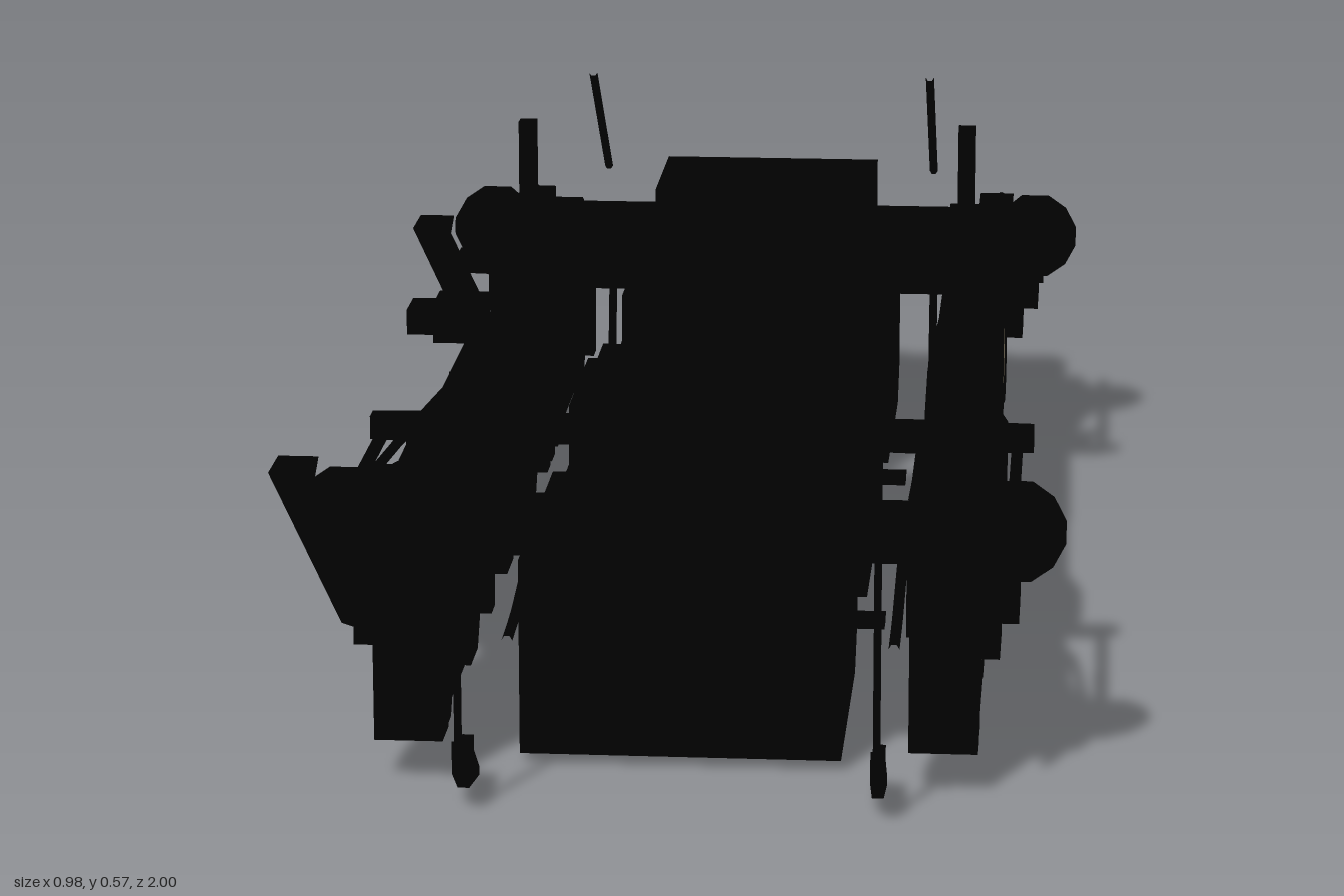
import * as THREE from 'three';

export function createModel() {
  const black = new THREE.MeshStandardMaterial({ color: 0x010101 });
  black.name = 'black iron';
  const tan = new THREE.MeshStandardMaterial({ color: 0x8e826a });
  tan.name = 'tan axle cap';

  const model = new THREE.Group();
  model.name = 'threeAxleBogie';
  const truck = new THREE.Group();
  truck.name = 'truck';
  truck.position.x = 0.022; // small sideways offset, dampers stick out on one side
  model.add(truck);

  const add = (name, geo, mat = black) => {
    const m = new THREE.Mesh(geo, mat);
    m.name = name;
    truck.add(m);
    return m;
  };
  // Box from min and max corners
  const box = (name, x0, x1, y0, y1, z0, z1) => {
    const [a, b] = [Math.min(x0, x1), Math.max(x0, x1)];
    return add(name, new THREE.BoxGeometry(b - a, y1 - y0, z1 - z0)
      .translate((a + b) / 2, (y0 + y1) / 2, (z0 + z1) / 2));
  };
  const toShape = (pts) => new THREE.Shape(pts.map(([x, y]) => new THREE.Vector2(x, y)));
  // Profile in (z, y), extruded along x, with an optional opening
  const plate = (name, pts, x0, x1, opening) => {
    const [a, b] = [Math.min(x0, x1), Math.max(x0, x1)];
    const flip = (list) => toShape(list.map(([z, y]) => [-z, y]));
    const shape = flip(pts);
    if (opening) shape.holes.push(flip(opening));
    const geo = new THREE.ExtrudeGeometry(shape, { depth: b - a, bevelEnabled: false });
    return add(name, geo.rotateY(Math.PI / 2).translate(a, 0, 0));
  };
  // Profile in (x, y), extruded along z about a centre
  const slice = (name, pts, z, width) => add(name,
    new THREE.ExtrudeGeometry(toShape(pts), { depth: width, bevelEnabled: false }).translate(0, 0, z - width / 2));
  // Plan in (x, z), extruded down from a top height
  const slab = (name, pts, top, depth) => {
    const geo = new THREE.ExtrudeGeometry(toShape(pts), { depth, bevelEnabled: false });
    return add(name, geo.rotateX(Math.PI / 2).translate(0, top, 0));
  };
  // Straight or bent rod through points
  const rod = (name, pts, r) => {
    const path = new THREE.CurvePath();
    const v = pts.map((p) => new THREE.Vector3(...p));
    for (let i = 1; i < v.length; i++) path.add(new THREE.LineCurve3(v[i - 1], v[i]));
    return add(name, new THREE.TubeGeometry(path, (v.length - 1) * 4, r, 6));
  };
  // Beam lofted through rectangular sections [z, bottom, top, outward shift]
  const loft = (name, sections, x0, x1, s) => {
    const rings = sections.map(([z, b, t, d]) => {
      const [l, r] = [s * (x0 + d), s * (x1 + d)].sort((p, q) => p - q);
      return [[l, b, z], [r, b, z], [r, t, z], [l, t, z]];
    });
    const pos = [];
    const quad = (a, b, c, d) => pos.push(...a, ...b, ...c, ...a, ...c, ...d);
    for (let i = 1; i < rings.length; i++) {
      const [f, g] = [rings[i - 1], rings[i]]; // f lies nearer the front
      for (let k = 0; k < 4; k++) quad(f[k], g[k], g[(k + 1) % 4], f[(k + 1) % 4]);
    }
    quad(...rings[0]);
    quad(...rings[rings.length - 1].slice().reverse());
    const geo = new THREE.BufferGeometry();
    geo.setAttribute('position', new THREE.Float32BufferAttribute(pos, 3));
    geo.computeVertexNormals();
    return add(name, geo);
  };

  const axles = [0.705, 0.043, -0.618];

  // End beams
  box('frontBeam', -0.35, 0.35, 0.29, 0.352, 0.825, 0.883);
  slab('rearBeam', [[-0.354, -0.92], [-0.354, -0.975], [-0.33, -1], [0.33, -1], [0.354, -0.975], [0.354, -0.92]], 0.295, 0.12);

  // Traction motors with chamfered undersides
  [[0.805, 0.41], [0.135, -0.25], [-0.53, -0.92]].forEach(([f, r]) => {
    plate('motor', [[f, 0.26], [f, 0.015], [r + 0.05, 0.015], [r, 0.065], [r, 0.26]], -0.196, 0.196);
  });
  box('frontMotorHousing', -0.16, 0.16, 0.1, 0.385, 0.31, 0.55);
  box('middleMotorHousing', -0.16, 0.16, 0.1, 0.29, -0.31, -0.06);
  box('rearMotorHousing', -0.16, 0.16, 0.2, 0.385, -0.92, -0.69);
  add('centrePivot', new THREE.CylinderGeometry(0.06, 0.06, 0.24, 20).translate(0, 0.345, 0.047));

  // Axially turned brake cylinder
  const cylinderProfile = [[0, -0.05], [0.035, -0.05], [0.06, -0.02], [0.06, 0.02], [0.042, 0.046], [0.014, 0.061], [0, 0.061]]
    .map(([r, h]) => new THREE.Vector2(r, h));

  for (const s of [1, -1]) {
    // Side frame, arched over the axles and bulging outward between the first two
    loft('sideFrame', [
      [0.885, 0.2, 0.35, 0], [0.6, 0.18, 0.355, 0], [0.5, 0.175, 0.32, 0], [0.42, 0.175, 0.3, 0.03],
      [0.27, 0.175, 0.3, 0.03], [0.2, 0.18, 0.325, 0], [-0.1, 0.18, 0.325, 0], [-0.25, 0.175, 0.305, 0],
      [-0.43, 0.175, 0.305, 0], [-0.52, 0.18, 0.355, 0], [-0.76, 0.18, 0.355, 0],
      [-0.88, 0.18, 0.295, 0], [-0.965, 0.18, 0.295, 0],
    ], 0.276, 0.354, s);
    box('cornerGusset', s * 0.21, s * 0.28, 0.2, 0.29, -0.93, -0.84);
    [0.365, -0.31].forEach((z) => box('motorSupport', s * 0.13, s * 0.23, 0.05, 0.062, z - 0.02, z + 0.02));

    axles.forEach((z, i) => {
      // Axle box with stepped spring seats and a window for the cap
      plate('axleBox', [
        [z + 0.17, 0.19], [z + 0.17, 0.06], [z + 0.1, 0.06], [z + 0.085, 0.08], [z - 0.085, 0.08],
        [z - 0.1, 0.06], [z - 0.17, 0.06], [z - 0.2, 0.1], [z - 0.2, 0.13], [z - 0.17, 0.19],
        [z - 0.1, 0.235], [z + 0.1, 0.235],
      ], s * 0.28, s * 0.363, [[z - 0.055, 0.1], [z + 0.055, 0.1], [z + 0.055, 0.208], [z - 0.055, 0.208]]);
      box('axleBoxFace', s * 0.285, s * 0.348, 0.095, 0.215, z - 0.06, z + 0.06);
      // The outer axles on the right carry damper mounts instead of caps
      if (s > 0 || i === 1) {
        const cap = new THREE.CylinderGeometry(0.042, 0.042, 0.018, 10).rotateZ(Math.PI / 2);
        add('axleCap', cap.translate(s * 0.3535, 0.16, z), tan);
      }
      // Springs between box and frame
      for (const d of [0.135, -0.135]) {
        add('spring', new THREE.CylinderGeometry(0.035, 0.035, 0.11, 10).translate(s * 0.328, 0.2, z + d));
      }
    });

    // Brake hangers and shoes
    [0.37, -0.3, -0.36, -0.44, -0.965].forEach((z) => {
      plate('brakeHanger', [[z + 0.03, 0.19], [z + 0.018, 0.06], [z - 0.02, 0.06], [z - 0.025, 0.19]], s * 0.28, s * 0.35);
    });
    rod('brakeLink', [[s * 0.247, 0.06, 0.5], [s * 0.247, 0.065, 0.4], [s * 0.247, 0.1, 0.21]], 0.007);
    rod('brakeLink', [[s * 0.247, 0.075, -0.12], [s * 0.247, 0.06, -0.3], [s * 0.247, 0.06, -0.48]], 0.007);
    rod('lowerPullRod', [[s * 0.31, 0.06, 0.46], [s * 0.31, 0.11, 0.22]], 0.008);
    rod('lowerPullRod', [[s * 0.31, 0.065, -0.2], [s * 0.31, 0.065, -0.46]], 0.008);

    // Brake cylinders, their push rods and rocker arms
    [[0.82, 0.475, 0.02], [-0.73, -0.425, 0.036]].forEach(([z, armZ, inner]) => {
      const dir = Math.sign(z);
      const geo = new THREE.LatheGeometry(cylinderProfile, 10).rotateZ(-s * Math.PI / 2);
      add('brakeCylinder', geo.translate(s * 0.403, 0.315, z));
      box('cylinderBracket', s * 0.32, s * 0.37, 0.27, 0.365, z - 0.06, z + 0.06);
      // Stepped bracket below the cylinder
      box('cylinderSeat', s * 0.33, s * 0.41, 0.215, 0.27, z - 0.05, z + 0.05);
      box('cylinderSeatFoot', s * 0.33, s * 0.388, 0.17, 0.22, z - 0.05, z + 0.05);
      rod('pushRod', [[s * 0.4, 0.335, z + dir * 0.09], [s * 0.4, 0.335, armZ]], 0.008);
      rod('innerRod', [[s * 0.352, 0.35, z + dir * 0.1], [s * 0.352, 0.35, z - dir * 0.1]], 0.008);
      slab('rockerArm', [[0.15, armZ - inner], [0.28, armZ - 0.025], [0.42, armZ - 0.014],
        [0.42, armZ + 0.014], [0.28, armZ + 0.03], [0.15, armZ + inner]].map(([x, z1]) => [s * x, z1]), 0.35, 0.03);
    });

    // Air pipe along the frame
    rod('airPipe', [
      [s * 0.375, 0.2, 0.915], [s * 0.375, 0.36, 0.915], [s * 0.375, 0.37, 0.88], [s * 0.352, 0.37, 0.62],
      [s * 0.345, 0.34, 0.575], [s * 0.345, 0.34, -0.46], [s * 0.352, 0.37, -0.51], [s * 0.352, 0.37, -0.75],
    ], 0.006);

    // Sloping bracket with upright post
    plate('postBracket', [[-0.045, 0.385], [-0.045, 0.35], [-0.2, 0.32], [-0.355, 0.385], [-0.355, 0.405]], s * 0.29, s * 0.33);
    box('post', s * 0.298, s * 0.322, 0.38, 0.56, -0.355, -0.33);

    // Sanding pipes and their feet
    rod('frontSandPipe', [[s * 0.247, 0.07, 0.994], [s * 0.247, 0.545, 0.994]], 0.005);
    plate('frontSandFoot', [[1, 0.095], [1, 0.055], [0.95, 0.02], [0.85, 0.002], [0.85, 0.012], [0.9, 0.05], [0.9, 0.07], [0.97, 0.075]],
      s * 0.24, s * 0.254);
    box('frontFootHanger', s * 0.28, s * 0.363, 0.055, 0.21, 0.83, 0.885);
    rod('frontFootPipe', [[s * 0.3, 0.3, 0.905], [s * 0.3, 0.07, 0.905], [s * 0.3, 0.06, 0.88]], 0.006);
    rod('rearSandPipe', [[s * 0.247, 0.57, -0.64], [s * 0.247, 0.38, -0.87]], 0.006);
    plate('rearSandFoot', [[-0.78, 0.018], [-0.78, 0.01], [-0.89, 0.02], [-0.915, 0.06], [-0.89, 0.06]], s * 0.24, s * 0.254);
    rod('rearFootPipe', [[s * 0.247, 0.05, -0.9], [s * 0.247, 0.2, -0.93]], 0.006);
  }

  // Sloping dampers and a short bracket on the right side only
  [axles[0], axles[2]].forEach((z) => {
    slice('damper', [[-0.35, 0.125], [-0.425, 0.15], [-0.512, 0.34],
      [-0.505, 0.352], [-0.455, 0.352], [-0.46, 0.325], [-0.395, 0.185], [-0.35, 0.17]], z, 0.036);
    slice('damperMount', [[-0.34, 0.12], [-0.366, 0.12], [-0.385, 0.15], [-0.385, 0.18], [-0.366, 0.2], [-0.34, 0.2]], z, 0.085);
  });
  box('middleBracket', -0.42, -0.35, 0.29, 0.345, -0.2, -0.12);
  box('middleBracketTip', -0.457, -0.41, 0.3, 0.335, -0.195, -0.125);

  return model;
}
